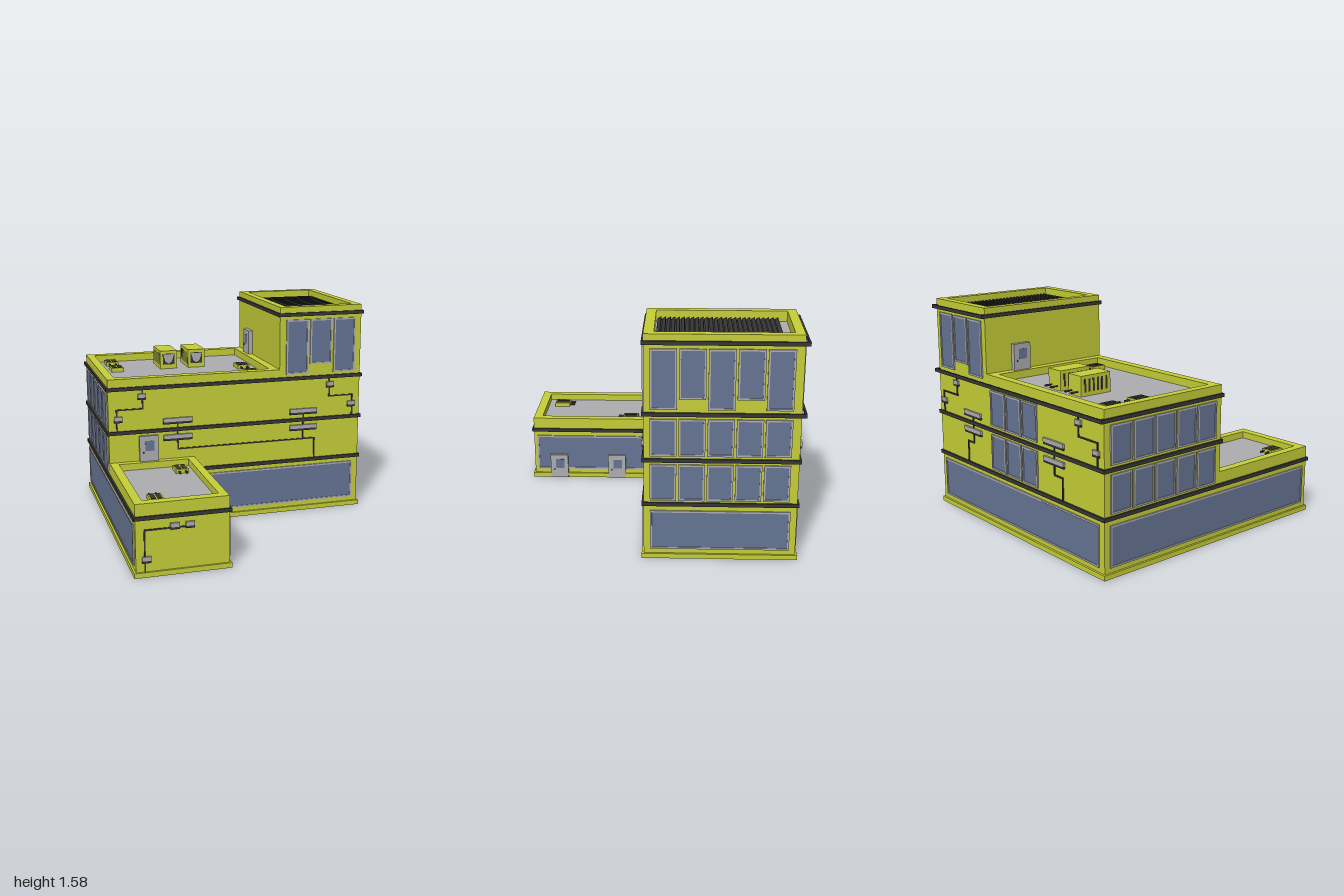
import * as THREE from 'three';

const mat = (color, side = THREE.FrontSide) => new THREE.MeshStandardMaterial({ color, side });
const WALL = mat(0xc6cf38, THREE.DoubleSide), DARK = mat(0x363636, THREE.DoubleSide);
const GREY = mat(0xaeaeb0, THREE.DoubleSide), GLASS = mat(0x667594, THREE.DoubleSide);

// Plan limits of the main block, tower (TX) and annex (AX, AZ)
const X0 = -0.97, X1 = 0.968, Z0 = -0.968, Z1 = 0.056;
const TX = 0.322, AX = -0.34, AZ = 0.987;

const rect = (x0, x1, z0, z1) => [[x0, z0], [x1, z0], [x1, z1], [x0, z1]];
const lPlan = o => [[X0 - o, Z0 - o], [X1 + o, Z0 - o], [X1 + o, Z1 + o],
  [AX + o, Z1 + o], [AX + o, AZ + o], [X0 - o, AZ + o]];

function add(parent, name, geo, material, x = 0, y = 0, z = 0) {
  const m = new THREE.Mesh(geo, material);
  m.name = name;
  m.position.set(x, y, z);
  parent.add(m);
  return m;
}
const box = (parent, name, material, w, h, d, x, y, z) =>
  add(parent, name, new THREE.BoxGeometry(w, h, d), material, x, y, z);

function group(parent, name, x, y, z) {
  const g = new THREE.Group();
  g.name = name;
  g.position.set(x, y, z);
  parent.add(g);
  return g;
}

// Horizontal band: a plan outline with a hole, raised from y0 to y1
function band(parent, name, material, outer, inner, y0, y1) {
  const pts = list => list.map(([x, z]) => new THREE.Vector2(x, -z));
  const shape = new THREE.Shape(pts(outer));
  shape.holes.push(new THREE.Path(pts(inner)));
  const geo = new THREE.ExtrudeGeometry(shape, { depth: y1 - y0, bevelEnabled: false });
  add(parent, name, geo.rotateX(-Math.PI / 2), material, 0, y0, 0);
}

// Thin walls following a plan path
function walls(parent, name, path, y0, y1, closed = true) {
  const g = group(parent, name, 0, 0, 0);
  const n = path.length;
  for (let i = 0; i < (closed ? n : n - 1); i++) {
    const [ax, az] = path[i], [bx, bz] = path[(i + 1) % n];
    const m = add(g, 'wall', new THREE.PlaneGeometry(Math.hypot(bx - ax, bz - az), y1 - y0), WALL,
      (ax + bx) / 2, (y0 + y1) / 2, (az + bz) / 2);
    m.rotation.y = Math.atan2(bz - az, ax - bx);
  }
}

function deck(parent, x0, x1, z0, z1, y) {
  const geo = new THREE.PlaneGeometry(x1 - x0, z1 - z0).rotateX(-Math.PI / 2);
  add(parent, 'roofDeck', geo, GREY, (x0 + x1) / 2, y, (z0 + z1) / 2);
}

// Local frame on a wall: x runs to the right seen from outside, z points outwards
function facade(parent, name, angle, x, z) {
  const g = group(parent, name, x, 0, z);
  g.rotation.y = angle;
  return g;
}

function pane(f, x0, x1, y0, y1) {
  const b = 0.013, s = new THREE.Shape(), h = new THREE.Path();
  s.moveTo(x0, y0).lineTo(x1, y0).lineTo(x1, y1).lineTo(x0, y1).closePath();
  h.moveTo(x0 + b, y0 + b).lineTo(x0 + b, y1 - b).lineTo(x1 - b, y1 - b).lineTo(x1 - b, y0 + b).closePath();
  s.holes.push(h);
  add(f, 'windowFrame', new THREE.ExtrudeGeometry(s, { depth: 0.02, bevelEnabled: false }), GREY, 0, 0, -0.01);
  const glass = new THREE.PlaneGeometry(x1 - x0 - b, y1 - y0 - b);
  add(f, 'windowGlass', glass, GLASS, (x0 + x1) / 2, (y0 + y1) / 2, 0.005);
}

function paneRow(f, start, count, y0, y1, shortY = y0) {
  for (let i = 0; i < count; i++) {
    const x = start + i * 0.188;
    pane(f, x, x + 0.175, i % 2 ? shortY : y0, y1);
  }
}

function door(f, x, y) {
  const g = group(f, 'door', x, y, 0);
  box(g, 'doorLeaf', GREY, 0.14, 0.195, 0.045, 0, 0.0975, 0);
  box(g, 'doorWindow', GLASS, 0.068, 0.075, 0.047, 0.005, 0.12, 0);
  const knob = new THREE.CylinderGeometry(0.007, 0.007, 0.004, 10).rotateX(Math.PI / 2);
  add(g, 'doorKnob', knob, DARK, -0.042, 0.07, 0.0235);
}

function wallBox(f, x, y, w = 0.06) {
  box(f, 'wallUnit', GREY, w, 0.028, 0.016, x, y + 0.008, 0.008);
  box(f, 'wallUnitBase', DARK, w, 0.016, 0.014, x, y - 0.014, 0.007);
}

// Conduit made of straight runs
function conduit(f, pts) {
  for (let i = 1; i < pts.length; i++) {
    const [ax, ay] = pts[i - 1], [bx, by] = pts[i];
    box(f, 'conduit', DARK, Math.abs(bx - ax) + 0.01, Math.abs(by - ay) + 0.01, 0.014, (ax + bx) / 2, (ay + by) / 2, 0);
  }
}

// Units and conduits shared by the front and back; centres place the long units
function services(f, centres) {
  for (const s of [-1, 1]) {
    wallBox(f, s * 0.725, 0.98);
    wallBox(f, s * 0.9, 0.82);
    conduit(f, [[s * 0.72, 1.04], [s * 0.72, 0.89], [s * 0.91, 0.89], [s * 0.91, 0.72]]);
  }
  for (const c of centres) {
    for (const y of [0.785, 0.66]) wallBox(f, c, y, 0.215);
    conduit(f, [[c, 0.785], [c, 0.57]]);
  }
}

function pipes(g, dir, halfDepth, length, gap, y) {
  for (const s of [-1, 1]) {
    const tube = new THREE.CylinderGeometry(0.005, 0.005, length, 8).rotateX(Math.PI / 2);
    add(g, 'pipe', tube, DARK, s * gap, y, dir * (halfDepth + length / 2));
    add(g, 'pipeEnd', new THREE.CylinderGeometry(0.008, 0.008, 0.03, 8).rotateX(Math.PI / 2), DARK,
      s * gap, y, dir * (halfDepth + length - 0.015));
  }
}

// Low roof vent with two dark grilles
function roofVent(parent, x, y, z, dir) {
  const g = group(parent, 'roofVent', x, y, z);
  box(g, 'ventBody', WALL, 0.094, 0.03, 0.12, 0, 0.015, 0);
  for (const s of [-1, 1]) box(g, 'ventGrille', DARK, 0.032, 0.004, 0.104, s * 0.021, 0.031, 0);
  pipes(g, dir, 0.06, 0.04, 0.024, 0.015);
}

// Large air handler with fan opening and side louvres
function airHandler(parent, x, y, z) {
  const g = group(parent, 'airHandler', x, y, z);
  box(g, 'handlerBody', WALL, 0.133, 0.14, 0.25, 0, 0.07, 0);
  box(g, 'fanOpening', DARK, 0.092, 0.085, 0.002, 0, 0.075, 0.125);
  const plate = new THREE.Shape([[-0.043, 0.037], [0.043, 0.037], [0.025, -0.02], [0, -0.036], [-0.025, -0.02]]
    .map(p => new THREE.Vector2(...p)));
  add(g, 'fanPlate', new THREE.ShapeGeometry(plate), GREY, 0, 0.075, 0.127);
  for (let i = 0; i < 6; i++) box(g, 'louvre', DARK, 0.002, 0.09, 0.016, -0.0665, 0.072, -0.09 + i * 0.036);
  pipes(g, -1, 0.125, 0.058, 0.033, 0.03);
}

export function createModel() {
  const root = new THREE.Group();
  root.name = 'officeBuilding';
  const mainDeck = 1.06, annexDeck = 0.45, towerDeck = 1.505;

  // Shell, open underneath
  walls(root, 'groundFloorWalls', lPlan(0), 0, 0.4);
  walls(root, 'upperFloorWalls', rect(X0, X1, Z0, Z1), 0.4, mainDeck);
  walls(root, 'annexUpperWalls', [[AX, Z1], [AX, AZ], [X0, AZ], [X0, Z1]], 0.4, annexDeck, false);
  walls(root, 'towerWalls', rect(TX, X1, Z0, Z1), mainDeck, towerDeck);
  deck(root, X0, TX, Z0, Z1, mainDeck);
  deck(root, X0, AX, Z1, AZ, annexDeck);
  deck(root, TX, X1, Z0, Z1, towerDeck);

  // Parapets
  band(root, 'mainParapet', WALL, rect(X0, TX, Z0, Z1), rect(-0.91, 0.26, -0.905, -0.012), mainDeck, 1.115);
  band(root, 'annexParapet', WALL, rect(X0, AX, Z1, AZ), rect(-0.91, -0.397, 0.105, 0.92), annexDeck, 0.5);
  band(root, 'towerParapet', WALL, rect(TX, X1, Z0, Z1), rect(0.38, 0.91, -0.905, -0.012), towerDeck, 1.58);

  // Plinth and dark trims; the two upper trims stand clear of the back wall
  band(root, 'plinth', WALL, lPlan(0.014), lPlan(-0.005), 0, 0.035);
  band(root, 'lowerTrim', DARK, lPlan(0.013), lPlan(-0.01), 0.39, 0.416);
  const trim = (x0, back, holeBack, y) => band(root, 'floorTrim', DARK, rect(x0 - 0.014, X1 + 0.014, back, Z1 + 0.013),
    rect(x0 + 0.01, X1 - 0.01, holeBack, Z1 - 0.01), y - 0.013, y + 0.013);
  trim(X0, -0.981, Z0 + 0.01, 0.72);
  trim(X0, -1, -0.988, 1.042);
  trim(TX, -1, -0.988, 1.523);

  // Front
  const front = facade(root, 'frontFacade', 0, 0, Z1);
  services(front, [-0.463, 0.513]);
  conduit(front, [[-0.463, 0.57], [0.605, 0.57], [0.605, 0.41]]);
  pane(front, -0.323, 0.923, 0.07, 0.36);
  door(front, -0.682, 0.495);
  paneRow(front, 0.371, 3, 1.075, 1.485, 1.145);
  const annexFront = facade(root, 'annexFrontFacade', 0, 0, AZ);
  for (const [x, y] of [[-0.71, 0.332], [-0.608, 0.332], [-0.9, 0.12]]) wallBox(annexFront, x, y);
  conduit(annexFront, [[-0.61, 0.32], [-0.91, 0.32], [-0.91, 0.035]]);

  // Back
  const back = facade(root, 'backFacade', Math.PI, 0, Z0);
  services(back, [-0.513, 0.463]);
  conduit(back, [[-0.513, 0.57], [-0.59, 0.57], [-0.59, 0.41]]);
  conduit(back, [[0.463, 0.57], [0.55, 0.57], [0.55, 0.41]]);
  pane(back, -0.92, 0.92, 0.07, 0.36);
  paneRow(back, -0.92, 3, 1.075, 1.485, 1.145);

  // Sides (local x is -z on the right, +z on the left)
  const right = facade(root, 'rightFacade', Math.PI / 2, X1, 0);
  const left = facade(root, 'leftFacade', -Math.PI / 2, X0, 0);
  pane(right, -0.014, 0.925, 0.07, 0.355);
  pane(left, -0.925, 0.945, 0.07, 0.355);
  paneRow(right, -0.014, 5, 1.075, 1.485, 1.145);
  for (const [y0, y1] of [[0.43, 0.69], [0.75, 1.01]]) {
    paneRow(right, -0.014, 5, y0, y1);
    paneRow(left, -0.92, 5, y0, y1);
    paneRow(back, -0.275, 3, y0, y1);
  }
  const annexRight = facade(root, 'annexRightFacade', Math.PI / 2, AX, 0);
  pane(annexRight, -0.963, -0.075, 0.07, 0.355);
  door(annexRight, -0.79, 0);
  door(annexRight, -0.327, 0);
  door(facade(root, 'towerLeftFacade', -Math.PI / 2, TX - 0.012, 0), -0.683, 1.11);

  // Roof equipment
  for (const x of [-0.398, -0.176]) airHandler(root, x, mainDeck, -0.62);
  for (const [x, z, dir] of [[-0.8, -0.775, 1], [-0.8, -0.535, -1], [0.157, -0.375, 1], [0.157, -0.125, -1]])
    roofVent(root, x, mainDeck, z, dir);
  roofVent(root, -0.485, annexDeck, 0.22, 1);
  roofVent(root, -0.795, annexDeck, 0.805, -1);

  // Slatted grille on the tower roof
  box(root, 'grilleBase', DARK, 0.5, 0.015, 0.825, 0.65, towerDeck + 0.0085, -0.433);
  for (let i = 0; i < 26; i++) {
    const slat = box(root, 'grilleSlat', DARK, 0.5, 0.006, 0.026, 0.65, towerDeck + 0.025, -0.83 + i * 0.0318);
    slat.rotation.x = 0.5;
  }
  return root;
}
